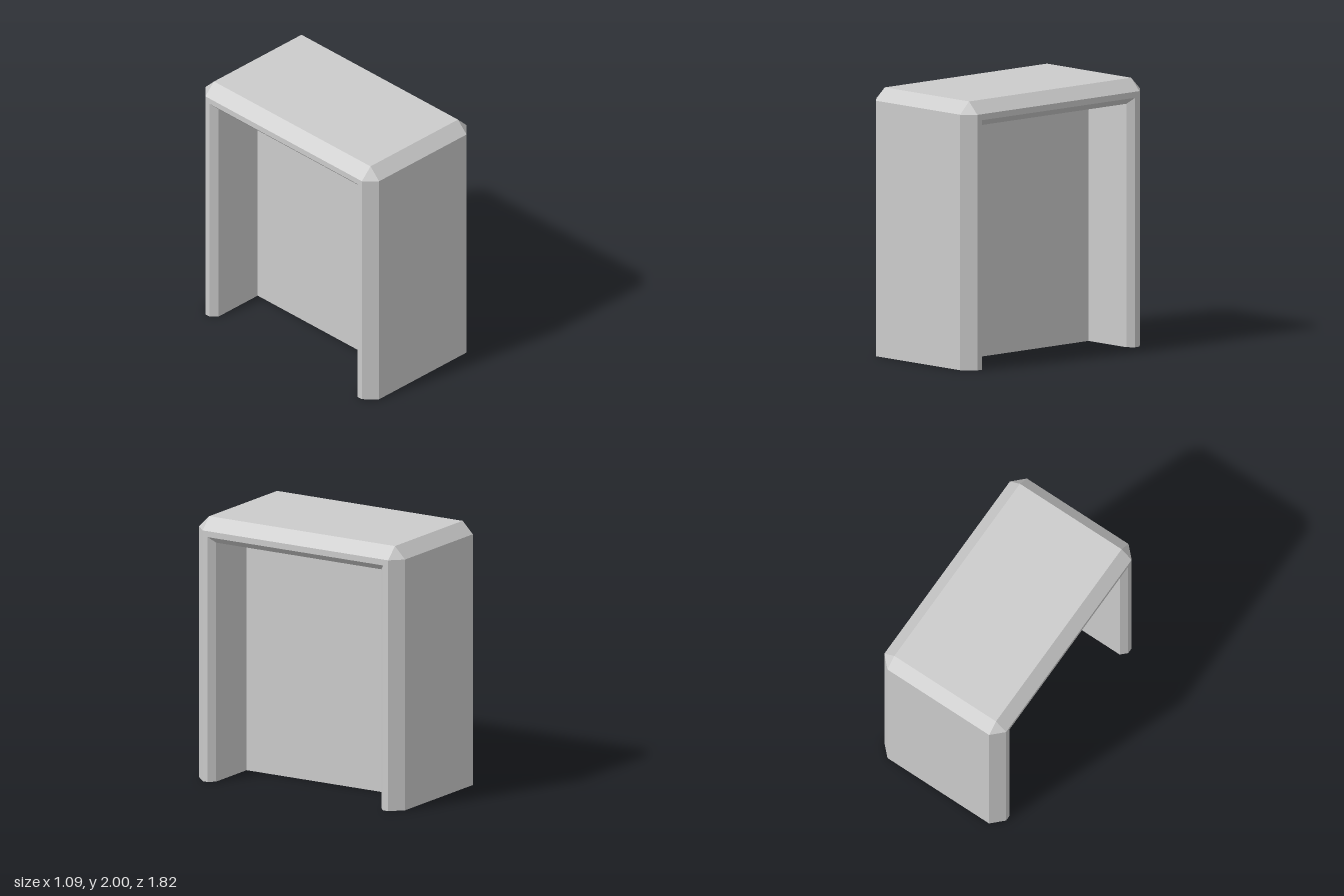
import * as THREE from 'three';

const grey = () => new THREE.MeshStandardMaterial({ color: 0xcccccc, flatShading: true });

// Arch line at a given x, from the +z foot over the top to the -z foot; cut chamfers its corners
const arch = ([x, z, y, cut]) => [
  [x, 0, z], [x, y - cut, z], [x, y, z - cut],
  [x, y, cut - z], [x, y - cut, -z], [x, 0, -z],
];

// Shell: a closed, chamfered wall section swept along the arch
function shellGeometry() {
  const half = [ // x, half depth, height, corner cut
    [0.455, 0.91, 2, 0.09],
    [0.545, 0.82, 1.91, 0],
    [0.545, 0.775, 1.865, 0],
    [0.5, 0.73, 1.82, 0],
  ];
  const mirrored = half.map(([x, ...rest]) => [-x, ...rest]).reverse();
  const loops = [...half, ...mirrored].map(arch);
  const n = loops.length;
  const pos = [];
  const same = (a, b) => a.every((v, i) => Math.abs(v - b[i]) < 1e-6);
  const tri = (a, b, c) => {
    if (!same(a, b) && !same(b, c) && !same(a, c)) pos.push(...a, ...b, ...c);
  };

  // Wall surfaces
  for (let k = 0; k < n; k++) {
    const p = loops[k], q = loops[(k + 1) % n];
    for (let i = 0; i < 5; i++) {
      tri(p[i], q[i], q[i + 1]);
      tri(p[i], q[i + 1], p[i + 1]);
    }
  }
  // Undersides of the two feet
  for (let k = 1; k < n - 1; k++) {
    tri(loops[0][0], loops[k + 1][0], loops[k][0]);
    tri(loops[0][5], loops[k][5], loops[k + 1][5]);
  }

  const geo = new THREE.BufferGeometry();
  geo.setAttribute('position', new THREE.Float32BufferAttribute(pos, 3));
  geo.computeVertexNormals();
  return geo;
}

export function createModel() {
  const model = new THREE.Group();
  model.name = 'archedFrame';

  const shell = new THREE.Mesh(shellGeometry(), grey());
  shell.name = 'shell';

  // Upright panel closing the middle of the arch
  const panel = new THREE.Mesh(new THREE.BoxGeometry(0.18, 1.82, 1.46), grey());
  panel.name = 'centrePanel';
  panel.position.y = 0.91;

  model.add(shell, panel);
  return model;
}
